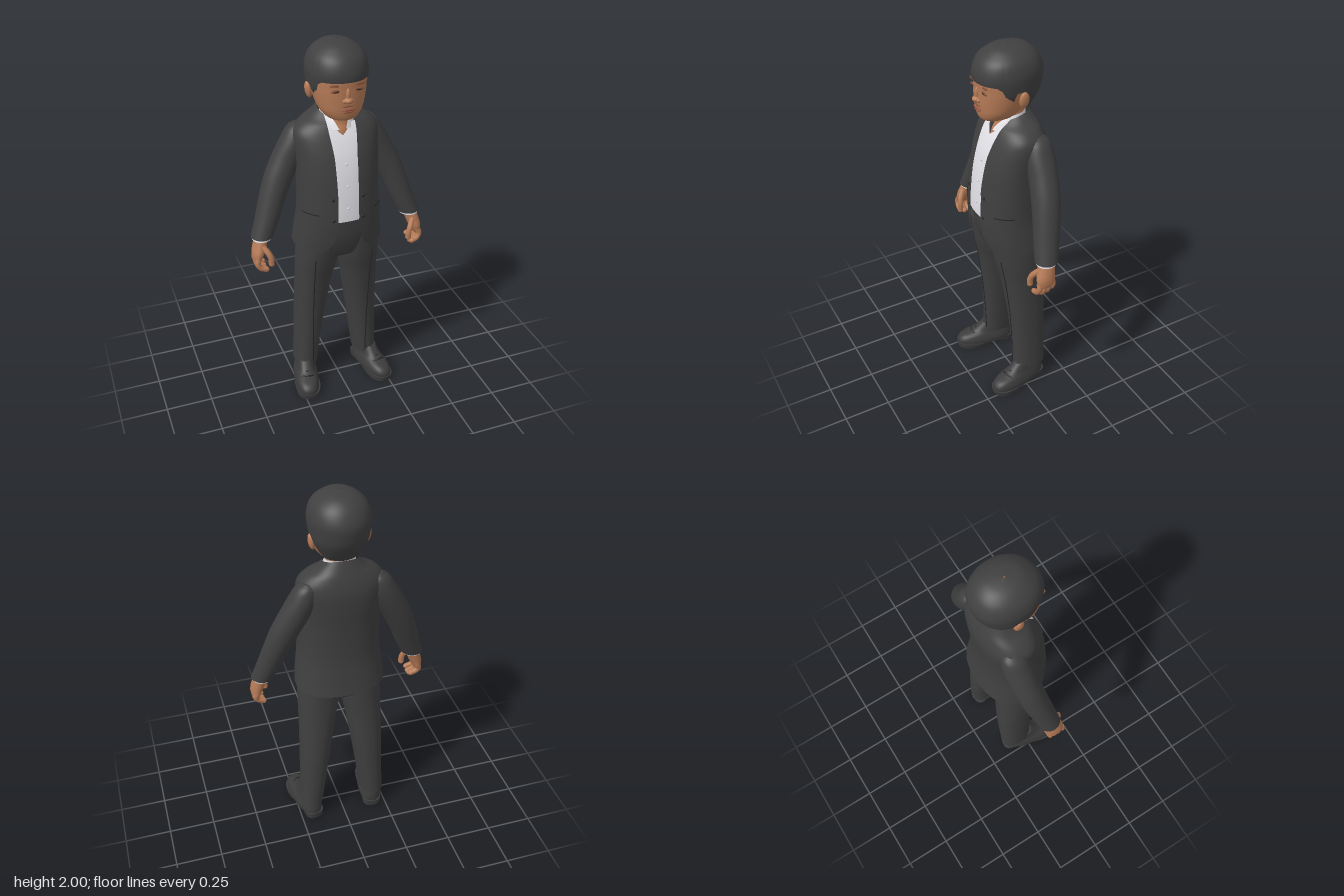
import * as THREE from 'three';

const mat = (name, color, side = THREE.DoubleSide) => {
  const m = new THREE.MeshStandardMaterial({ color, side });
  m.name = name;
  return m;
};
const { lerp } = THREE.MathUtils;
const TAU = Math.PI * 2;
const spow = (v, p) => Math.sign(v) * Math.abs(v) ** p;

// Piecewise linear lookup through [x, y] points
const table = (pts) => (v) => {
  if (v <= pts[0][0]) return pts[0][1];
  for (let i = 1; i < pts.length; i++) {
    const [a, b] = [pts[i - 1], pts[i]];
    if (v <= b[0]) return lerp(a[1], b[1], (v - a[0]) / (b[0] - a[0]));
  }
  return pts.at(-1)[1];
};

// Cross-section rows are [y, halfWidth, zFront, zBack, centreX, tilt], bottom to top
function at(rows, u) {
  const i = Math.min(Math.floor(u), rows.length - 2), t = u - i;
  const r = (k) => rows[Math.max(0, Math.min(rows.length - 1, k))];
  return [0, 1, 2, 3, 4, 5].map((c) => {
    const [a, b, d, e] = [r(i - 1), r(i), r(i + 1), r(i + 2)].map((q) => q[c] || 0);
    return b + 0.5 * t * (d - a + t * (2 * a - 5 * b + 4 * d - e + t * (3 * (b - d) + e - a)));
  });
}
function uAt(rows, y) {
  let lo = 0, hi = rows.length - 1;
  for (let k = 0; k < 24; k++) {
    const mid = (lo + hi) / 2;
    if (at(rows, mid)[0] < y) lo = mid; else hi = mid;
  }
  return (lo + hi) / 2;
}
// Depth of the front surface at x, y
function frontZ(rows, x, y, p = 1) {
  const [, w, zf, zb, cx] = at(rows, uAt(rows, y));
  const k = Math.min(1, Math.abs(x - cx) / w);
  return (zf + zb) / 2 + ((zf - zb) / 2) * (1 - k ** (2 / p)) ** (p / 2);
}

// Skin over the rows; angle 0 faces the front and grows towards +x
function loft(rows, o = {}) {
  const { n = 40, m = 28, p = 1, off = 0, cap = false, from, to } = o;
  const lo = o.lo || (() => rows[0][0]), hi = o.hi || (() => rows.at(-1)[0]);
  const closed = !from, cols = closed ? n : n + 1;
  const pos = [], idx = [];
  for (let j = 0; j <= m; j++) for (let i = 0; i < cols; i++) {
    const f = i / n;
    const u = lerp(uAt(rows, lo(f * TAU)), uAt(rows, hi(f * TAU)), j / m);
    const [y, w, zf, zb, cx, tilt] = at(rows, u);
    const a = closed ? f * TAU : lerp(from(y, w), to(y, w), f);
    pos.push(cx + (w + off) * spow(Math.sin(a), p), y + tilt * Math.cos(a),
      (zf + zb) / 2 + ((zf - zb) / 2 + off) * spow(Math.cos(a), p));
  }
  for (let j = 0; j < m; j++) for (let i = 0; i < n; i++) {
    const a = j * cols + i, b = j * cols + ((i + 1) % cols);
    idx.push(a, b, b + cols, a, b + cols, a + cols);
  }
  if (cap) for (const j of [0, m]) {
    const base = pos.length / 3, c = [0, 0, 0];
    for (let i = 0; i < n; i++) for (let k = 0; k < 3; k++) {
      const v = pos[(j * cols + i) * 3 + k];
      pos.push(v);
      c[k] += v / n;
    }
    pos.push(...c);
    for (let i = 0; i < n; i++) {
      const a = base + i, b = base + ((i + 1) % n);
      idx.push(...(j ? [a, b, base + n] : [b, a, base + n]));
    }
  }
  const g = new THREE.BufferGeometry();
  g.setAttribute('position', new THREE.Float32BufferAttribute(pos, 3));
  g.setIndex(idx);
  g.computeVertexNormals();
  return g;
}

export function createModel() {
  const model = new THREE.Group();
  const suit = mat('suit charcoal', 0x3f3f3f), hair = mat('hair charcoal', 0x404040);
  const skin = mat('skin', 0xb57a56), shirt = mat('shirt white', 0xe2e2e8);
  const lid = mat('eyelid brown', 0x83543c), lip = mat('lip brown', 0x935640);
  const dark = mat('seam black', 0x262626), shoe = mat('shoe charcoal', 0x3b3b3b);
  const add = (name, geo, material, parent = model) => {
    const mesh = new THREE.Mesh(geo, material);
    mesh.name = name;
    parent.add(mesh);
    return mesh;
  };
  const ball = (name, material, [x, y, z], [sx, sy, sz], parent) => {
    const b = add(name, new THREE.SphereGeometry(1, 20, 14), material, parent);
    b.position.set(x, y, z);
    b.scale.set(sx, sy, sz);
    return b;
  };
  const tube = (name, material, pts, r, parent) => add(name, new THREE.TubeGeometry(
    new THREE.CatmullRomCurve3(pts.map((q) => new THREE.Vector3(...q))), 14, r, 10), material, parent);

  // Head, hair and neck
  const face = [[1.632, 0.045, 0.12, 0.0], [1.645, 0.078, 0.14, -0.04], [1.68, 0.107, 0.15, -0.07],
    [1.72, 0.122, 0.153, -0.1], [1.76, 0.131, 0.154, -0.12], [1.8, 0.137, 0.154, -0.14],
    [1.86, 0.137, 0.15, -0.15], [1.93, 0.1, 0.1, -0.12]];
  add('face', loft(face, { p: 0.92, cap: true }), skin);
  add('neck', loft([[1.48, 0.08, 0.085, -0.08], [1.55, 0.075, 0.065, -0.1], [1.6, 0.068, 0.042, -0.1],
    [1.72, 0.068, 0.03, -0.1]]), skin);
  const hairline = table([[0, 1.838], [0.85, 1.836], [1.0, 1.82], [1.1, 1.76], [1.28, 1.755], [1.4, 1.8],
    [1.65, 1.805], [1.85, 1.72], [2.1, 1.685], [Math.PI, 1.67]]);
  add('hair', loft([[1.67, 0.09, 0.02, -0.1], [1.7, 0.108, 0.07, -0.125], [1.77, 0.141, 0.135, -0.167],
    [1.83, 0.15, 0.162, -0.182], [1.88, 0.151, 0.162, -0.185], [1.93, 0.136, 0.142, -0.165],
    [1.965, 0.105, 0.105, -0.135], [1.99, 0.06, 0.06, -0.09], [2.0, 0.003, -0.01, -0.016]],
  { n: 88, p: 0.95, lo: (a) => hairline(a > Math.PI ? TAU - a : a) }), hair);
  const onFace = (name, m, x, y, s) => ball(name, m, [x, y, frontZ(face, x, y, 0.92)], s);
  ball('nose', skin, [0, 1.748, 0.155], [0.022, 0.016, 0.023]);
  ball('noseBridge', skin, [0, 1.775, 0.15], [0.012, 0.035, 0.016]);
  onFace('upperLip', lip, 0, 1.7, [0.036, 0.007, 0.009]);
  onFace('lowerLip', lip, 0, 1.69, [0.028, 0.007, 0.009]);
  onFace('lipShadow', lid, 0, 1.718, [0.032, 0.004, 0.004]);
  for (const s of [1, -1]) {
    onFace('nostrilWing', skin, s * 0.019, 1.745, [0.01, 0.01, 0.012]);
    onFace('eyelid', lid, s * 0.055, 1.796, [0.028, 0.009, 0.005]);
    onFace('eye', dark, s * 0.055, 1.795, [0.016, 0.004, 0.007]);
    onFace('eyebrow', lid, s * 0.058, 1.823, [0.032, 0.006, 0.005]).rotation.z = s * 0.08;
    ball('ear', skin, [s * 0.139, 1.757, -0.025], [0.017, 0.043, 0.026]).rotation.z = -s * 0.15;
  }

  // Jacket body, open at the front with rounded hem corners
  const P = 0.87;
  const jacket = [[0.92, 0.238, 0.165, -0.195], [1.0, 0.23, 0.175, -0.182], [1.13, 0.215, 0.179, -0.166],
    [1.3, 0.212, 0.165, -0.166], [1.42, 0.216, 0.142, -0.173], [1.5, 0.222, 0.115, -0.174],
    [1.55, 0.215, 0.092, -0.166], [1.59, 0.178, 0.072, -0.152, 0, -0.005],
    [1.62, 0.125, 0.055, -0.135, 0, -0.015], [1.65, 0.088, 0.04, -0.115, 0, -0.028]];
  const angle = (x, w) => Math.asin(Math.min(1, x / w) ** (1 / P));
  const gap = table([[0.92, 0.15], [0.93, 0.12], [0.95, 0.095], [1.0, 0.07], [1.08, 0.056], [1.25, 0.055],
    [1.45, 0.06], [1.56, 0.072], [1.65, 0.074]]);
  add('jacket', loft(jacket, { n: 64, m: 60, p: P, from: (y, w) => angle(gap(y), w),
    to: (y, w) => TAU - angle(gap(y), w) }), suit);
  const shirtEdge = (y, w) => angle(0.11, w);
  add('shirt', loft(jacket, { p: P, off: -0.01, lo: () => 1.095,
    hi: (a) => 1.54 + 0.06 * Math.min(1, Math.abs(a - Math.PI) / 1.5),
    from: (y, w) => -shirtEdge(y, w), to: shirtEdge }), shirt);
  const collarGap = table([[1.57, 0.022], [1.655, 0.062]]);
  add('shirtCollar', loft([[1.57, 0.088, 0.085, -0.1], [1.61, 0.084, 0.064, -0.1], [1.655, 0.077, 0.04, -0.1, 0, -0.015]],
    { from: (y, w) => angle(collarGap(y), w), to: (y, w) => TAU - angle(collarGap(y), w) }), shirt);

  // Lapels, pocket flaps and buttons lie on the jacket
  const lapel = table([[1.24, 0.004], [1.4, 0.045], [1.5, 0.065], [1.52, 0.04], [1.62, 0.03]]);
  const patch = (name, s, y0, y1, inner, outer, m = suit, off = 0.005) => add(name, loft(jacket, {
    n: 8, p: P, off, lo: () => y0, hi: () => y1,
    from: (y, w) => (s > 0 ? angle(inner(y), w) : -angle(outer(y), w)),
    to: (y, w) => (s > 0 ? angle(outer(y), w) : -angle(inner(y), w)) }), m);
  const button = (name, x, y, off) => ball(name, dark, [x, y, frontZ(jacket, x, y, P) + off], [0.009, 0.009, 0.005]);
  for (const s of [1, -1]) {
    patch('lapel', s, 1.24, 1.62, gap, (y) => gap(y) + lapel(y));
    patch('pocketFlap', s, 1.09, 1.145, () => 0.145, () => 0.205);
    patch('pocketSeam', s, 1.143, 1.149, () => 0.143, () => 0.207, dark, 0.006);
    button('jacketButton', s * 0.08, 1.23, 0.002);
    button('jacketButton', s * 0.08, 1.115, 0.002);
  }
  for (const y of [1.17, 1.29, 1.405]) ball('shirtButton', shirt, [0, y, frontZ(jacket, 0, y, P) - 0.008], [0.007, 0.007, 0.004]);

  // Hips
  add('trouserHips', loft([[0.83, 0.08, 0.06, -0.08], [0.86, 0.165, 0.105, -0.13], [0.92, 0.213, 0.13, -0.155],
    [1.0, 0.21, 0.148, -0.155], [1.12, 0.195, 0.156, -0.145]], { p: 0.9, cap: true }), suit);

  for (const s of [1, -1]) {
    const side = s > 0 ? 'left' : 'right';
    const rows = (list) => list.map(([y, w, zf, zb, cx]) => [y, w, zf, zb, cx * s]);

    // Trouser leg with crease
    const leg = rows([[0.11, 0.064, 0.04, -0.145, 0.179], [0.3, 0.073, 0.045, -0.148, 0.163],
      [0.5, 0.085, 0.06, -0.148, 0.146], [0.7, 0.099, 0.088, -0.14, 0.128],
      [0.84, 0.111, 0.118, -0.137, 0.113], [1.0, 0.108, 0.14, -0.14, 0.105]]);
    add(side + 'TrouserLeg', loft(leg, { p: 0.9, cap: true }), suit);
    tube(side + 'Crease', dark, [0.13, 0.3, 0.5, 0.7, 0.86].map((y) => [s * 0.158, y, frontZ(leg, s * 0.158, y, 0.9)]), 0.003);

    // Shoe turned outwards
    const foot = new THREE.Group();
    foot.name = side + 'Shoe';
    foot.position.set(s * 0.2, 0, 0.03);
    foot.rotation.y = s * 0.19;
    model.add(foot);
    add('upper', loft([[0.025, 0.068, 0.168, -0.165], [0.05, 0.068, 0.166, -0.167], [0.075, 0.06, 0.14, -0.165],
      [0.1, 0.05, 0.07, -0.16], [0.145, 0.042, 0.015, -0.15]], { p: 0.82, cap: true }), shoe, foot);
    add('sole', loft([[0, 0.066, 0.168, -0.03], [0.028, 0.071, 0.173, -0.06]], { p: 0.85, m: 4, cap: true }), shoe, foot);
    add('heel', loft([[0, 0.05, -0.07, -0.17], [0.035, 0.054, -0.06, -0.172]], { p: 0.75, m: 4, cap: true }), shoe, foot);
    for (const z of [0.045, 0.075]) tube('lace', dark, [[-0.035, 0.09, z], [0, 0.108 - (z - 0.045) * 0.3, z + 0.01], [0.035, 0.09, z]], 0.004, foot);

    // Sleeve and shirt cuff
    add(side + 'Sleeve', loft(rows([[1.0, 0.058, 0.055, -0.065, 0.41], [1.1, 0.065, 0.04, -0.09, 0.37],
      [1.2, 0.071, 0.025, -0.115, 0.334], [1.31, 0.079, 0.01, -0.135, 0.288], [1.4, 0.081, 0.0, -0.146, 0.242],
      [1.48, 0.072, -0.005, -0.15, 0.206], [1.545, 0.052, -0.025, -0.138, 0.186], [1.57, 0.02, -0.06, -0.11, 0.18]]),
    { cap: true }), suit);
    add(side + 'Cuff', loft(rows([[0.988, 0.05, 0.05, -0.055, 0.413], [1.02, 0.05, 0.046, -0.058, 0.405]]),
      { m: 4, cap: true }), shirt);

    // Hand with curled fingers
    add(side + 'Palm', loft(rows([[0.868, 0.014, 0.055, -0.025, 0.45], [0.885, 0.024, 0.062, -0.034, 0.448],
      [0.92, 0.033, 0.065, -0.036, 0.44], [0.96, 0.036, 0.054, -0.04, 0.428], [1.01, 0.036, 0.038, -0.046, 0.413]]),
    { cap: true }), skin);
    const finger = (name, pts, r) => {
      tube(name, skin, pts.map(([x, y, z]) => [x * s, y, z]), r);
      const [x, y, z] = pts.at(-1);
      ball(name + 'Tip', skin, [x * s, y, z], [r, r, r]);
    };
    [0.055, 0.029, 0.004, -0.02].forEach((z, i) => {
      const drop = [0.01, 0, 0.004, 0.018][i];
      finger(side + 'Finger', [[0.448, 0.9, z], [0.455, 0.865 + drop / 2, z + 0.003],
        [0.44, 0.835 + drop, z + 0.006], [0.412, 0.824 + drop, z + 0.008]], 0.0145);
    });
    finger(side + 'Thumb', [[0.42, 0.96, 0.04], [0.397, 0.925, 0.066], [0.387, 0.895, 0.073], [0.386, 0.868, 0.073]], 0.0155);
  }
  return model;
}
